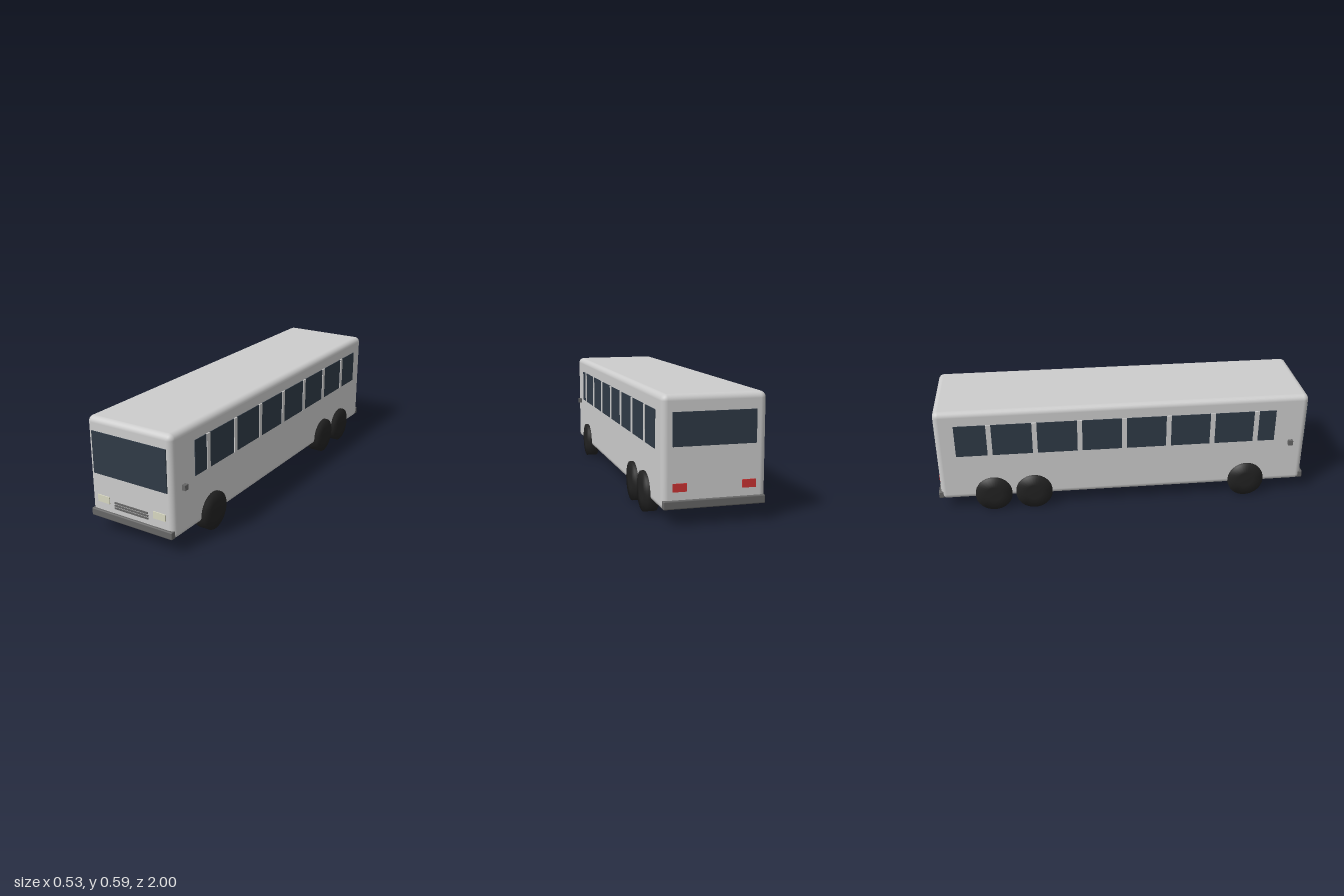
import * as THREE from 'three';
import { RoundedBoxGeometry } from 'three/addons/geometries/RoundedBoxGeometry.js';

const material = (name, color) => {
  const m = new THREE.MeshStandardMaterial({ color });
  m.name = name;
  return m;
};

export function createModel() {
  const bus = new THREE.Group();
  bus.name = 'bus';
  const paint = material('body paint', 0xcccccc);
  const glass = material('dark glass', 0x2f3a46);
  const trim = material('grey trim', 0x666666);
  const rubber = material('tyre black', 0x222222);
  const lampWhite = material('headlight cream', 0xd8d8c2);
  const lampRed = material('tail light red', 0xcc3333);

  const add = (name, geometry, mat, x, y, z) => {
    const mesh = new THREE.Mesh(geometry, mat);
    mesh.name = name;
    mesh.position.set(x, y, z);
    bus.add(mesh);
    return mesh;
  };
  // Box given by its limits on each axis
  const box = (name, mat, [x0, x1], [y0, y1], [z0, z1]) =>
    add(name, new THREE.BoxGeometry(x1 - x0, y1 - y0, z1 - z0), mat,
      (x0 + x1) / 2, (y0 + y1) / 2, (z0 + z1) / 2);

  // Body shell with rounded edges
  add('body', new RoundedBoxGeometry(0.496, 0.523, 1.976, 3, 0.03), paint, 0, 0.3315, 0);

  // Windscreen, rear window and grille bars
  box('windscreen', glass, [-0.218, 0.218], [0.308, 0.524], [0.986, 0.993]);
  box('rearWindow', glass, [-0.198, 0.198], [0.36, 0.515], [-0.993, -0.986]);
  for (const y of [0.149, 0.163, 0.177]) {
    box('grilleBar', trim, [-0.1, 0.1], [y - 0.004, y + 0.004], [0.986, 0.994]);
  }

  // Bumpers
  for (const s of [1, -1]) {
    add(s > 0 ? 'frontBumper' : 'rearBumper',
      new RoundedBoxGeometry(0.486, 0.04, 0.03, 2, 0.006), trim, 0, 0.098, s * 0.985);
  }

  // Wheel profile: shallow cone faces around a flat hub
  const profile = [[0, -0.0335], [0.042, -0.0335], [0.098, -0.0295],
    [0.098, 0.0295], [0.042, 0.0335], [0, 0.0335]].map(p => new THREE.Vector2(...p));
  const wheelGeometry = new THREE.LatheGeometry(profile, 32);

  for (const s of [1, -1]) {
    const side = s > 0 ? 'left' : 'right';
    const span = (a, b) => (s > 0 ? [a, b] : [-b, -a]);

    // Window band divided by raised pillars
    box(side + 'WindowBand', glass, span(0.245, 0.2515), [0.336, 0.515], [-0.886, 0.814]);
    for (let i = -3; i <= 3; i++) {
      const z = i * 0.2362;
      box(side + 'Pillar', paint, span(0.246, 0.255), [0.335, 0.516], [z - 0.013, z + 0.013]);
    }

    // Lamps and mirror
    box(side + 'Headlight', lampWhite, span(0.132, 0.203), [0.161, 0.197], [0.986, 0.993]);
    box(side + 'TailLight', lampRed, span(0.132, 0.198), [0.156, 0.194], [-0.993, -0.986]);
    box(side + 'Mirror', trim, span(0.24, 0.267), [0.304, 0.331], [0.894, 0.919]);

    // One front axle, two rear axles
    for (const z of [0.673, -0.49, -0.706]) {
      add(side + 'Wheel', wheelGeometry, rubber, s * 0.2335, 0.098, z).rotation.z = Math.PI / 2;
    }
  }
  return bus;
}
